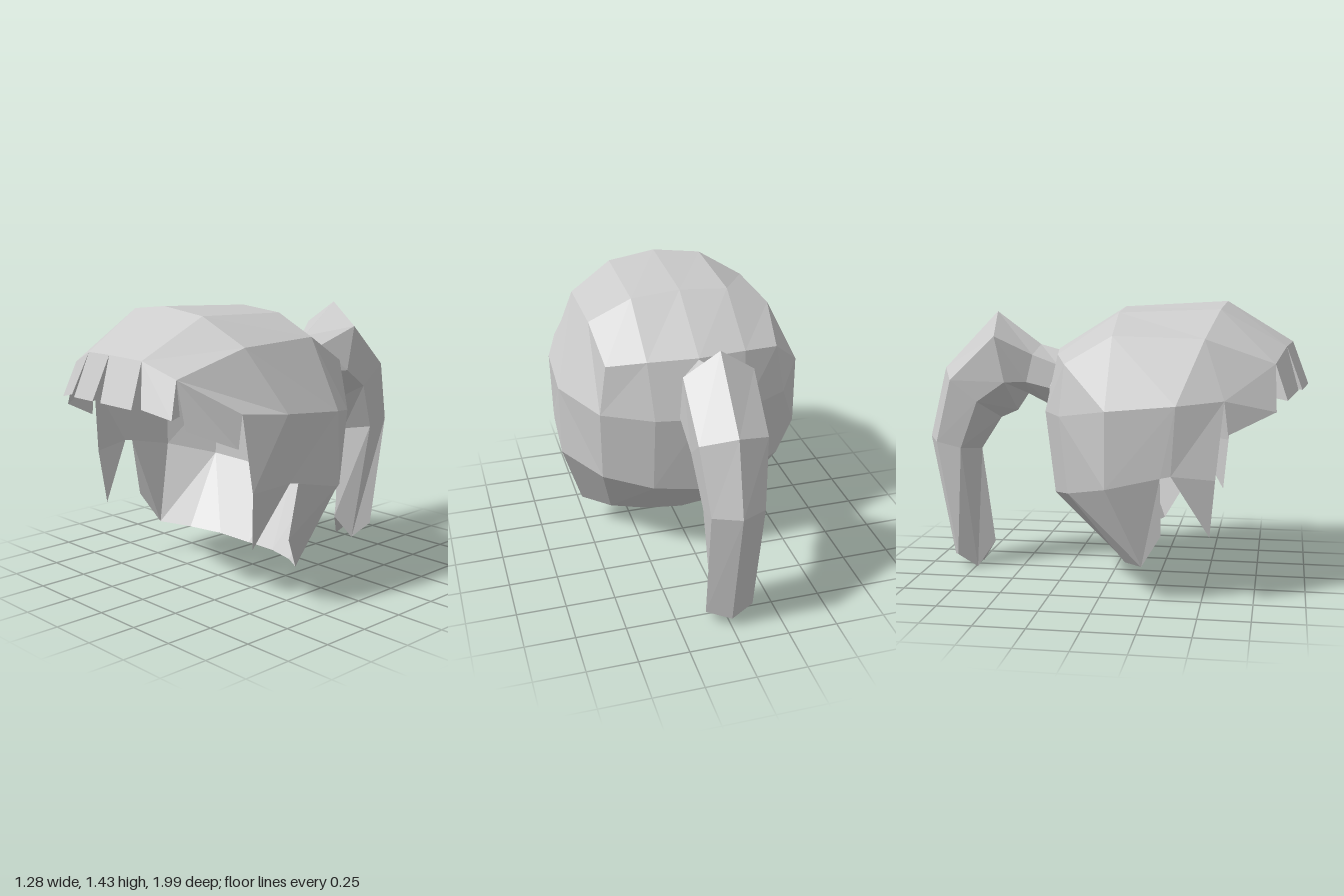
import * as THREE from 'three';

const mat = new THREE.MeshStandardMaterial({ color: 0xcccccc, flatShading: true, side: THREE.DoubleSide });

// Faceted mesh from a list of polygons (each an array of [x, y, z])
function facets(name, polys) {
  const pos = [];
  for (const p of polys)
    for (let i = 1; i < p.length - 1; i++) pos.push(...p[0], ...p[i], ...p[i + 1]);
  const g = new THREE.BufferGeometry();
  g.setAttribute('position', new THREE.Float32BufferAttribute(pos, 3));
  g.computeVertexNormals();
  const m = new THREE.Mesh(g, mat);
  m.name = name;
  return m;
}

// Quads between neighbouring rows of points
function strips(rows, closed = false) {
  const out = [];
  for (let r = 0; r < rows.length - 1; r++) {
    const a = rows[r], b = rows[r + 1], n = a.length;
    for (let i = 0; i < (closed ? n : n - 1); i++) {
      const j = (i + 1) % n;
      out.push([a[i], b[i], b[j], a[j]]);
    }
  }
  return out;
}

const flip = polys => polys.map(p => p.map(([x, y, z]) => [-x, y, z]).reverse());
const both = polys => [...polys, ...flip(polys)];

export function createModel() {
  const group = new THREE.Group();

  // Crown and back of the hair: rows run from the centre line to the side
  const crown = [
    [[0, 1.23, .91], [.2, 1.22, .88], [.38, 1.15, .83], [.56, .99, .60]],
    [[0, 1.43, .58], [.25, 1.4, .56], [.47, 1.27, .50], [.63, .97, .38]],
    [[0, 1.4, .06], [.25, 1.38, .06], [.47, 1.28, .06], [.64, .94, .05]],
  ];
  const back = [
    [[0, 1.18, -.29], [.25, 1.17, -.25], [.44, 1.14, -.18]],
    [[0, .88, -.36], [.23, .88, -.32], [.48, .89, -.2]],
    [[0, .44, -.3], [.23, .465, -.27], [.47, .51, -.16]],
    [[0, .13, .03], [.2, .14, .05], [.38, .15, .11]],
  ];
  const sideTop = crown[2][3], sideLow = [.64, .57, .05], hem = [.52, .17, .21];
  group.add(facets('crown', both(strips(crown))));
  group.add(facets('backHair', both([
    ...strips([crown[2].slice(0, 3), ...back]),
    [crown[2][2], back[0][2], back[1][2], sideTop],
    [sideTop, back[1][2], back[2][2], sideLow],
    [sideLow, back[2][2], back[3][2], hem],
  ])));

  // Side locks: rear panel and pointed sideburn in front of it
  const ear = [.63, .63, .31], notch = [.625, .64, .36];
  const sideburnTop = crown[1][3], templeEnd = crown[0][3];
  const lock = [
    [sideTop, sideLow, ear, notch, sideburnTop],
    [sideLow, hem, [.57, .34, .31], ear],
    [sideburnTop, notch, [.59, .62, .565], templeEnd],
    [notch, [.56, .34, .54], [.59, .62, .565]],
  ];
  group.add(facets('sideLocks', both(lock)));

  // Temple fringe hanging from the front rim
  group.add(facets('templeFringe', both([
    [crown[0][2], templeEnd, [.555, .83, .62], [.45, .93, .84]],
  ])));

  // Wedge-shaped fringe tabs: two rim points, two lower front points
  const tabs = [
    [crown[0][0], crown[0][1], [.22, 1.01, .96], [.03, 1.02, .99]],
    [crown[0][1], crown[0][2], [.415, .98, .89], [.265, 1.015, .94]],
  ];
  for (const [a, b, c, d] of tabs) {
    const c2 = [c[0] - .015, c[1] + .01, c[2] - .06];
    const d2 = [d[0], d[1] + .01, d[2] - .06];
    group.add(facets('fringeTabs', both([
      [a, d, c, b], [d, d2, c2, c], [a, b, c2, d2], [b, c, c2], [a, d2, d],
    ])));
  }

  // Ponytail: six-sided sections [top y,z | upper side x,y,z | lower side x,y,z | bottom y,z]
  const sections = [
    [1.17, -.28, .07, 1.1, -.29, .09, .98, -.33, .88, -.34],
    [1.2, -.39, .08, 1.15, -.42, .10, 1.01, -.45, .94, -.46],
    [1.37, -.62, .17, 1.25, -.6, .17, 1.015, -.55, .85, -.52],
    [1.07, -.91, .165, 1.02, -.84, .16, .91, -.7, .81, -.61],
    [.70, -1, .13, .69, -.93, .13, .66, -.8, .64, -.72],
    [.05, -.88, .12, .08, -.83, .06, 0, -.74, .13, -.655],
  ].map(([ty, tz, ux, uy, uz, lx, ly, lz, by, bz]) => [
    [0, ty, tz], [ux, uy, uz], [lx, ly, lz], [0, by, bz], [-lx, ly, lz], [-ux, uy, uz],
  ]);
  const end = sections[sections.length - 1];
  const tip = [0, .06, -.77];
  const cap = end.map((p, i) => [tip, end[(i + 1) % 6], p]);
  group.add(facets('ponytail', [...strips(sections, true), ...cap]));

  return group;
}
